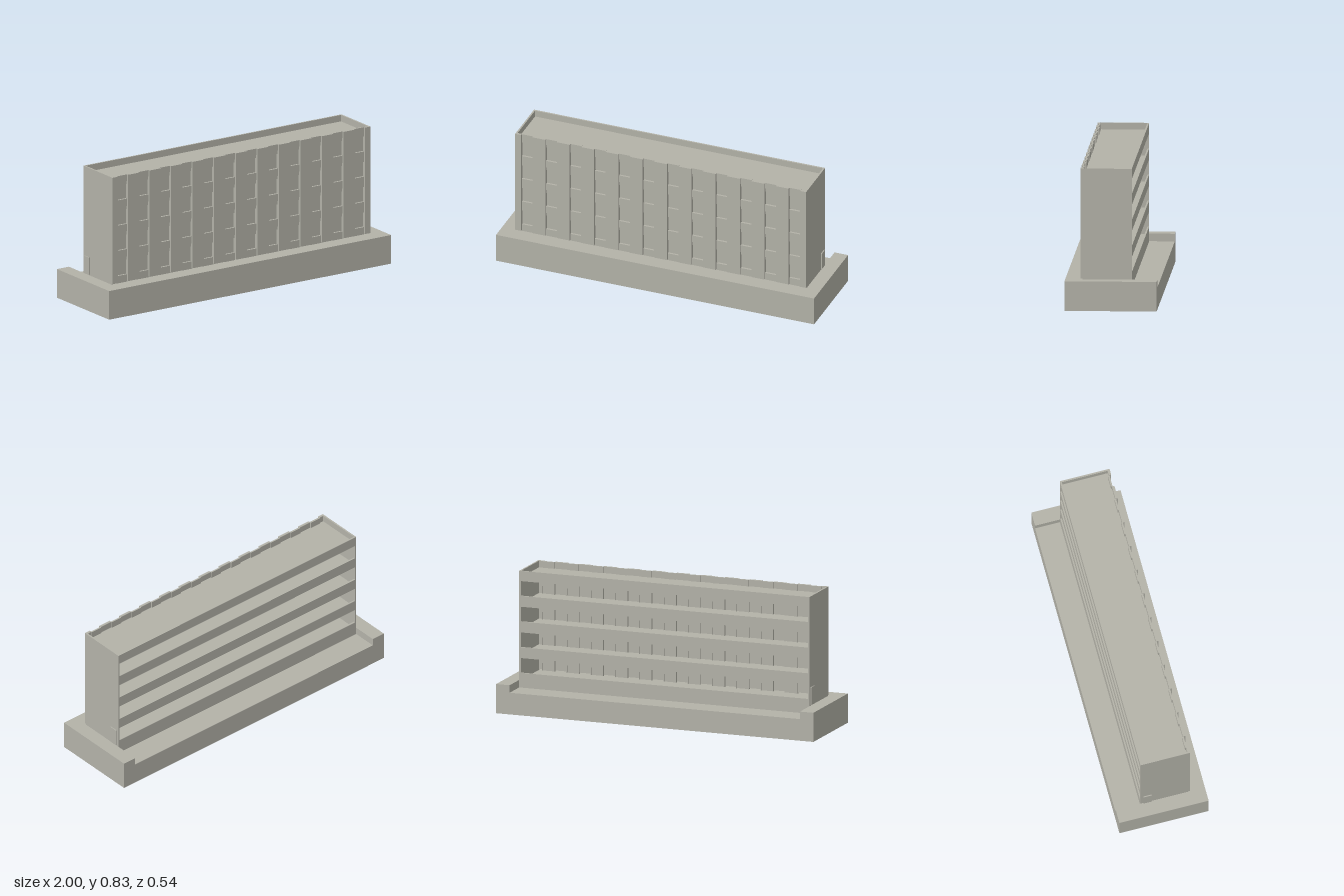
import * as THREE from 'three';

export function createModel() {
  const model = new THREE.Group();
  const concrete = new THREE.MeshStandardMaterial({ color: 0xb3b2a8 });
  concrete.name = 'concrete';

  // Box given by its extents on each axis
  function box(name, x0, x1, y0, y1, z0, z1, parent = model) {
    const mesh = new THREE.Mesh(new THREE.BoxGeometry(x1 - x0, y1 - y0, z1 - z0), concrete);
    mesh.name = name;
    mesh.position.set((x0 + x1) / 2, (y0 + y1) / 2, (z0 + z1) / 2);
    parent.add(mesh);
    return mesh;
  }
  function group(name) {
    const g = new THREE.Group();
    g.name = name;
    model.add(g);
    return g;
  }

  const W = 0.915, TOP = 0.83, BACK = -0.12;
  const GROUND = 0.175, STOREY = 0.154, PITCH = 0.153, HALF = 0.036;

  // Plinth with a sunken terrace that is open to the rear
  const profile = new THREE.Shape([
    [-1, 0.27], [1, 0.27], [1, -0.27], [W, -0.27], [W, -0.11], [-W, -0.11], [-W, -0.27], [-1, -0.27],
  ].map(([x, z]) => new THREE.Vector2(x, -z)));
  const upper = new THREE.ExtrudeGeometry(profile, { depth: GROUND - 0.13, bevelEnabled: false });
  upper.rotateX(-Math.PI / 2);
  const rim = new THREE.Mesh(upper, concrete);
  rim.name = 'plinthRim';
  rim.position.y = 0.13;
  model.add(rim);
  box('plinth', -1, 1, 0, 0.13, -0.27, 0.27);

  // End walls, each with a thin side door
  for (const s of [-1, 1]) {
    const xs = [s * W, s * (W - 0.01)].sort((a, b) => a - b);
    box('endWall', xs[0], xs[1], 0.13, TOP, BACK, 0.17);
    const ds = [s * W, s * (W + 0.006)].sort((a, b) => a - b);
    box('sideDoor', ds[0], ds[1], 0.18, 0.285, -0.103, -0.053);
  }

  // Floors, roof and rear balustrades of the open galleries
  const galleries = group('galleries');
  for (let i = 0; i < 5; i++) {
    const y = GROUND + i * STOREY;
    if (i > 0) box(i === 4 ? 'roof' : 'floorSlab', -W + 0.01, W - 0.01, y - 0.02, y, BACK + 0.01, 0.166, galleries);
    const bottom = i === 0 ? 0.13 : y - 0.022;
    const top = i === 4 ? TOP : y + 0.043;
    box('balustrade', -W + 0.01, W - 0.01, bottom, top, BACK, BACK + 0.01, galleries);
  }

  // Recessed window bays: sill panels with set-back panes between them
  const bays = group('windowBays');
  for (let c = 0; c < 12; c++) {
    const x = (c - 5.5) * PITCH, x0 = x - HALF, x1 = x + HALF;
    for (let i = 0; i < 5; i++) {
      const y = GROUND + i * STOREY;
      box('sillPanel', x0, x1, y, i === 4 ? TOP : y + 0.045, 0.16, 0.17, bays);
      if (i < 4) box('windowPane', x0, x1, y + 0.045, y + STOREY, 0.153, 0.158, bays);
    }
  }

  // Projecting pilasters between the bays and at the corners
  const pilasters = group('pilasters');
  for (let c = 0; c <= 12; c++) {
    const x0 = c === 0 ? -W : (c - 6.5) * PITCH + HALF;
    const x1 = c === 12 ? W : (c - 5.5) * PITCH - HALF;
    box('pilaster', x0, x1, 0.18, TOP, 0.166, 0.181, pilasters);
    box('windowReveal', x0, x0 + 0.004, GROUND, TOP - 0.04, 0.153, 0.168, pilasters);
    box('windowReveal', x1 - 0.004, x1, GROUND, TOP - 0.04, 0.153, 0.168, pilasters);
  }

  return model;
}
